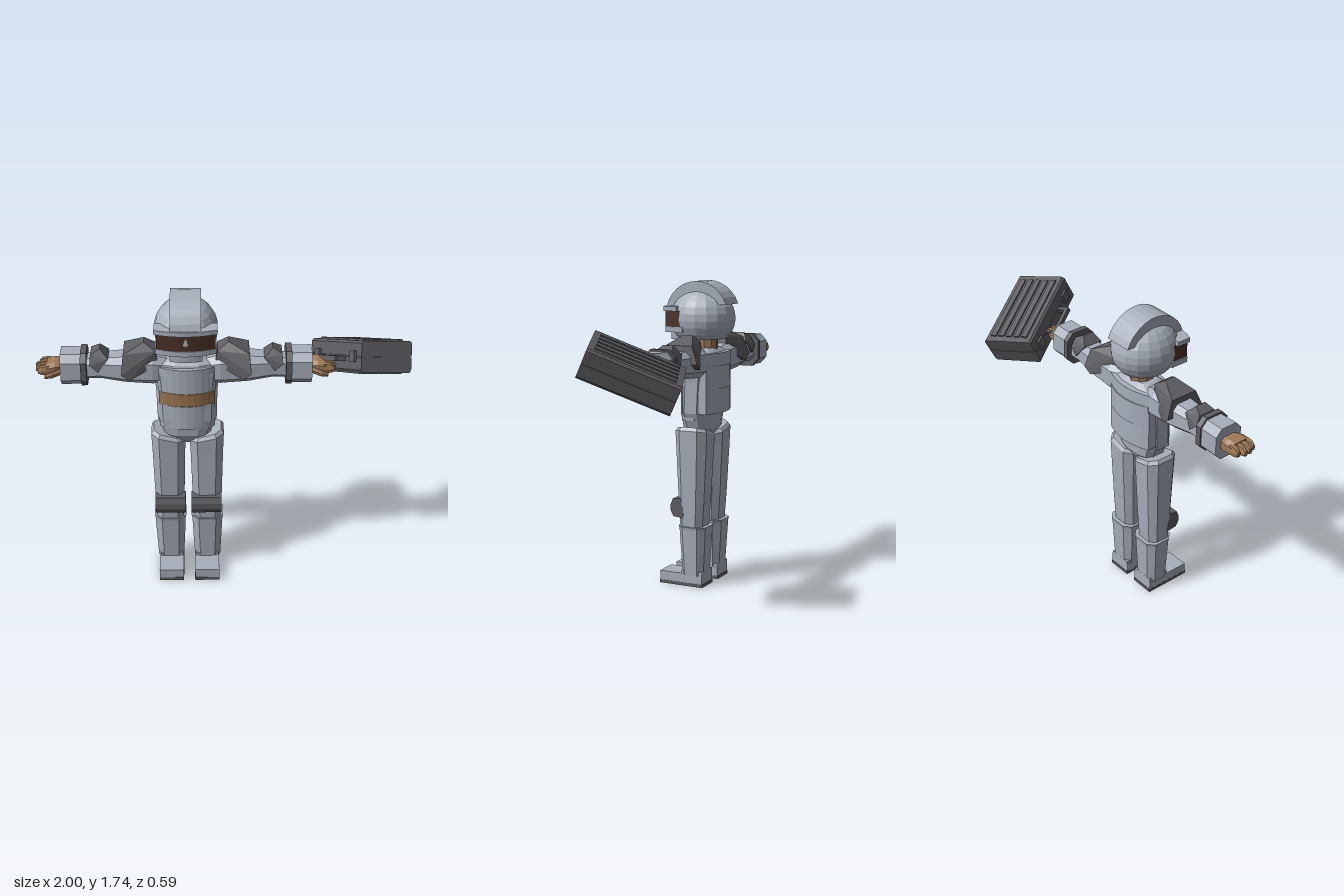
import * as THREE from 'three';
import { ConvexGeometry } from 'three/addons/geometries/ConvexGeometry.js';

const paint = (name, color, side = THREE.FrontSide) =>
  new THREE.MeshStandardMaterial({ name, color, flatShading: true, side });

// Closed skin through rounded-square rings: [t, c1, c2, r1, r2, tilt]
// axis 'y': t is height, c/r are x and z; axis 'x': t is x, c/r are y and z
function loft(axis, sections, n = 8, side = 1) {
  const power = 0.65, pos = [], idx = [];
  const sq = v => Math.sign(v) * Math.abs(v) ** power;
  const k = sq(Math.cos(Math.PI / n));
  for (const [t, c1, c2, r1, r2, tilt = 0] of sections) {
    for (let j = 0; j < n; j++) {
      const a = ((j + 0.5) / n) * Math.PI * 2;
      const u = sq(Math.cos(a)) / k, v = sq(Math.sin(a)) / k;
      if (axis === 'y') pos.push(c1 + u * r1, t + tilt * u, c2 + v * r2);
      else pos.push(side * t, c1 + u * r1, c2 + v * r2);
    }
  }
  const flip = axis === 'y' || side < 0;
  const tri = (a, b, c) => (flip ? idx.push(a, c, b) : idx.push(a, b, c));
  const last = (sections.length - 1) * n;
  for (let i = 0; i < last; i += n) {
    for (let j = 0; j < n; j++) {
      const a = i + j, b = i + ((j + 1) % n);
      tri(a, b, b + n);
      tri(a, b + n, a + n);
    }
  }
  for (let j = 1; j < n - 1; j++) {
    tri(0, j + 1, j);
    tri(last, last + j, last + j + 1);
  }
  const g = new THREE.BufferGeometry();
  g.setAttribute('position', new THREE.Float32BufferAttribute(pos, 3));
  g.setIndex(idx);
  g.computeVertexNormals();
  return g;
}

// Slab with an arched front: edges at zEdge, middle at zMid, flat or arched back
function archedSlab(half, zEdge, zMid, y0, y1, back, thick = 0) {
  const s = new THREE.Shape(), n = 8;
  const arc = (i, off) => [half * (2 * i / n - 1), zMid + (zEdge - zMid) * (2 * i / n - 1) ** 2 - off];
  s.moveTo(...arc(0, 0));
  for (let i = 1; i <= n; i++) s.lineTo(...arc(i, 0));
  if (thick) for (let i = n; i >= 0; i--) s.lineTo(...arc(i, thick));
  else { s.lineTo(half, back); s.lineTo(-half, back); }
  return new THREE.ExtrudeGeometry(s, { depth: y1 - y0, bevelEnabled: false })
    .rotateX(Math.PI / 2).translate(0, y1, 0);
}

const box = (w, h, d, x, y, z) => new THREE.BoxGeometry(w, h, d).translate(x, y, z);
const hull = (points, side) =>
  new ConvexGeometry(points.map(([x, y, z]) => new THREE.Vector3(x * side, y, z)));

export function createModel() {
  const suit = paint('suit grey', 0xa8afbb);
  const dark = paint('pad grey', 0x5e5d62);
  const skin = paint('skin', 0xa07a58);
  const belt = paint('belt tan', 0x9a7450);
  const glass = paint('visor brown', 0x4a3025);

  const model = new THREE.Group();
  const figure = new THREE.Group();
  figure.name = 'figure';
  figure.position.x = -0.195;
  model.add(figure);
  const add = (name, geometry, material, parent = figure) => {
    const m = new THREE.Mesh(geometry, material);
    m.name = name;
    parent.add(m);
    return m;
  };

  // Torso, chest plates and belt
  add('torso', loft('y', [
    [0.85, 0, 0.07, 0.05, 0.05], [0.91, 0, 0.07, 0.125, 0.085], [1.0, 0, 0.07, 0.16, 0.09],
    [1.18, 0, 0.06, 0.165, 0.095], [1.28, 0, 0.055, 0.175, 0.1], [1.335, 0, 0.05, 0.16, 0.09],
    [1.365, 0, 0.05, 0.09, 0.06]], 12), suit);
  add('chestPlate', archedSlab(0.155, 0.125, 0.172, 1.18, 1.325, 0.05), suit);
  add('bellyPlate', archedSlab(0.15, 0.125, 0.17, 0.96, 1.1, 0.05), suit);
  add('belt', archedSlab(0.15, 0.13, 0.176, 1.105, 1.18, 0.05), belt);
  add('backPlate', archedSlab(0.16, 0.03, 0.068, 1.0, 1.34, 0, 0.05).rotateY(Math.PI), suit);
  add('backBand', archedSlab(0.155, 0.033, 0.074, 1.14, 1.27, 0, 0.05).rotateY(Math.PI), suit);

  // Neck and helmet
  add('neck', new THREE.CylinderGeometry(0.068, 0.07, 0.12, 10).translate(0, 1.38, 0.05), skin);
  const shell = [[0, 1.415], [0.125, 1.415], [0.145, 1.44]];
  for (let i = 0; i <= 8; i++) {
    const a = -0.3 + (i / 8) * (Math.PI / 2 + 0.3);
    shell.push([Math.max(0, 0.17 * Math.cos(a)), 1.53 + 0.17 * Math.sin(a)]);
  }
  add('helmet', new THREE.LatheGeometry(shell.map(p => new THREE.Vector2(...p)), 18)
    .scale(1, 1, 1.11).translate(0, 0, 0.07), suit);
  const crest = new THREE.Shape();
  for (let i = 0; i <= 24; i++) {
    const outer = i <= 12, a = 0.28 + (outer ? i : 24 - i + 0) / 12 * 2.5;
    const p = [0.07 + (outer ? 0.196 : 0.15) * Math.cos(a), 1.54 + (outer ? 0.198 : 0.13) * Math.sin(a)];
    i ? crest.lineTo(...p) : crest.moveTo(...p);
  }
  add('helmetCrest', new THREE.ExtrudeGeometry(crest, { depth: 0.16, bevelEnabled: false })
    .rotateY(-Math.PI / 2).translate(0.08, 0, 0), suit);
  add('visorBrow', archedSlab(0.165, 0.235, 0.265, 1.572, 1.598, 0.155), suit);
  add('visorGlass', archedSlab(0.153, 0.228, 0.256, 1.485, 1.572, 0.14), glass);
  add('visorSill', archedSlab(0.16, 0.225, 0.262, 1.455, 1.485, 0.12), suit);
  add('chinGuard', archedSlab(0.085, 0.225, 0.24, 1.41, 1.455, 0.1), suit);

  for (const side of [1, -1]) {
    const label = side > 0 ? 'left' : 'right';
    const arm = new THREE.Group();
    arm.name = label + 'Arm';
    const leg = new THREE.Group();
    leg.name = label + 'Leg';
    figure.add(arm, leg);

    // Arm with pads, strap, cuff and hand
    add('sleeve', loft('x', [
      [0.1, 1.285, 0.05, 0.07, 0.07], [0.18, 1.295, 0.05, 0.085, 0.085], [0.33, 1.295, 0.05, 0.075, 0.08],
      [0.46, 1.3, 0.05, 0.06, 0.065], [0.56, 1.295, 0.05, 0.058, 0.06]], 8, side), suit, arm);
    add('shoulderPad', hull([
      [0.15, 1.33, 0], [0.15, 1.33, 0.11], [0.165, 1.41, 0], [0.165, 1.41, 0.11],
      [0.225, 1.45, 0.02], [0.225, 1.45, 0.08], [0.335, 1.4, -0.03], [0.335, 1.4, 0.13],
      [0.345, 1.3, -0.065], [0.345, 1.3, 0.175], [0.3, 1.268, -0.06], [0.3, 1.268, 0.17]], side), dark, arm);
    add('elbowPad', hull([
      [0.415, 1.365, -0.01], [0.415, 1.365, 0.11], [0.46, 1.413, 0.02], [0.46, 1.413, 0.08],
      [0.51, 1.385, 0], [0.51, 1.385, 0.1], [0.515, 1.335, -0.025], [0.515, 1.335, 0.125],
      [0.47, 1.295, -0.03], [0.47, 1.295, 0.13]], side), dark, arm);
    add('wristStrap', loft('x', [[0.53, 1.302, 0.052, 0.097, 0.092],
      [0.562, 1.302, 0.052, 0.097, 0.092]], 8, side), dark, arm);
    add('cuff', loft('x', [[0.555, 1.3, 0.05, 0.088, 0.082], [0.67, 1.3, 0.05, 0.09, 0.084]], 8, side), suit, arm);
    add('palm', loft('x', [[0.65, 1.3, 0.055, 0.032, 0.05], [0.7, 1.303, 0.058, 0.038, 0.066],
      [0.745, 1.3, 0.06, 0.032, 0.066]], 8, side), skin, arm);
    for (let i = 0; i < 4; i++) {
      const z = 0.011 + i * 0.032, tip = [0.788, 0.805, 0.803, 0.79][i];
      add('finger', loft('x', [[0.73, 1.302, z, 0.027, 0.017], [0.77, 1.302, z, 0.024, 0.016],
        [tip, 1.298, z, 0.014, 0.01]], 6, side), skin, arm);
    }
    add('thumb', loft('x', [[0.67, 1.295, 0.105, 0.018, 0.018], [0.72, 1.282, 0.125, 0.018, 0.014],
      [0.755, 1.272, 0.125, 0.01, 0.009]], 6, side), skin, arm);

    // Leg, knee pad, boot and shoe
    const x = side * 0.105;
    add('trouser', loft('y', [
      [0.33, x, 0.07, 0.075, 0.07], [0.5, x, 0.068, 0.082, 0.08], [0.8, x, 0.066, 0.09, 0.094],
      [0.885, x, 0.066, 0.094, 0.098, side * 0.022], [0.905, x, 0.066, 0.08, 0.085, side * 0.022]], 8), suit, leg);
    add('boot', loft('y', [[0.065, x, 0.06, 0.073, 0.066], [0.2, x, 0.06, 0.08, 0.074],
      [0.335, x, 0.06, 0.086, 0.082], [0.352, x, 0.06, 0.09, 0.086]], 8), suit, leg);
    const pad = new THREE.Shape([[0.1, 0.4], [0.165, 0.407], [0.182, 0.44], [0.182, 0.475],
      [0.168, 0.51], [0.11, 0.517]].map(p => new THREE.Vector2(...p)));
    add('kneePad', new THREE.ExtrudeGeometry(pad, { depth: 0.17, bevelEnabled: false })
      .rotateY(-Math.PI / 2).translate(side * 0.101 + 0.085, 0, 0), dark, leg);
    add('shoe', box(0.138, 0.054, 0.268, side * 0.102, 0.045, 0.126), suit, leg);
    add('heel', box(0.132, 0.07, 0.13, side * 0.102, 0.055, 0.057), suit, leg);
    add('sole', box(0.14, 0.018, 0.274, side * 0.102, 0.009, 0.126), dark, leg);
  }

  // Ribbed case held at an angle in the left hand
  const kit = new THREE.Group();
  kit.name = 'case';
  const long = new THREE.Vector3(0.22, 0.195, 0.41).normalize();
  const wide = new THREE.Vector3(0.288, -0.07, -0.123);
  wide.addScaledVector(long, -wide.dot(long)).normalize();
  const up = new THREE.Vector3().crossVectors(long, wide);
  kit.setRotationFromMatrix(new THREE.Matrix4().makeBasis(wide, up, long));
  kit.position.set(0.745, 1.32, 0);
  model.add(kit);
  for (const s of [1, -1]) {
    const half = new THREE.Shape([[-0.157, 0.002], [0.157, 0.002], [0.157, 0.07], [0.147, 0.083],
      [-0.147, 0.083], [-0.157, 0.07]].map(([a, b]) => new THREE.Vector2(a, b)));
    add(s > 0 ? 'caseLid' : 'caseBase', new THREE.ExtrudeGeometry(half, { depth: 0.5, bevelEnabled: false })
      .translate(0, 0, -0.25).rotateZ(s > 0 ? 0 : Math.PI), dark, kit);
    for (let i = -2; i <= 2; i++)
      add('caseRib', box(0.034, 0.012, 0.43, i * 0.052, s * 0.086, 0), dark, kit);
    add('latch', box(0.016, 0.06, 0.05, -0.163, 0, s * 0.175), dark, kit);
    add('handleMount', box(0.055, 0.026, 0.022, -0.18, -0.015, s * 0.085), dark, kit);
  }
  add('caseSeam', box(0.304, 0.01, 0.49, 0, 0, 0), dark, kit);
  add('handleGrip', box(0.022, 0.028, 0.19, -0.21, -0.015, 0), dark, kit);
  return model;
}
